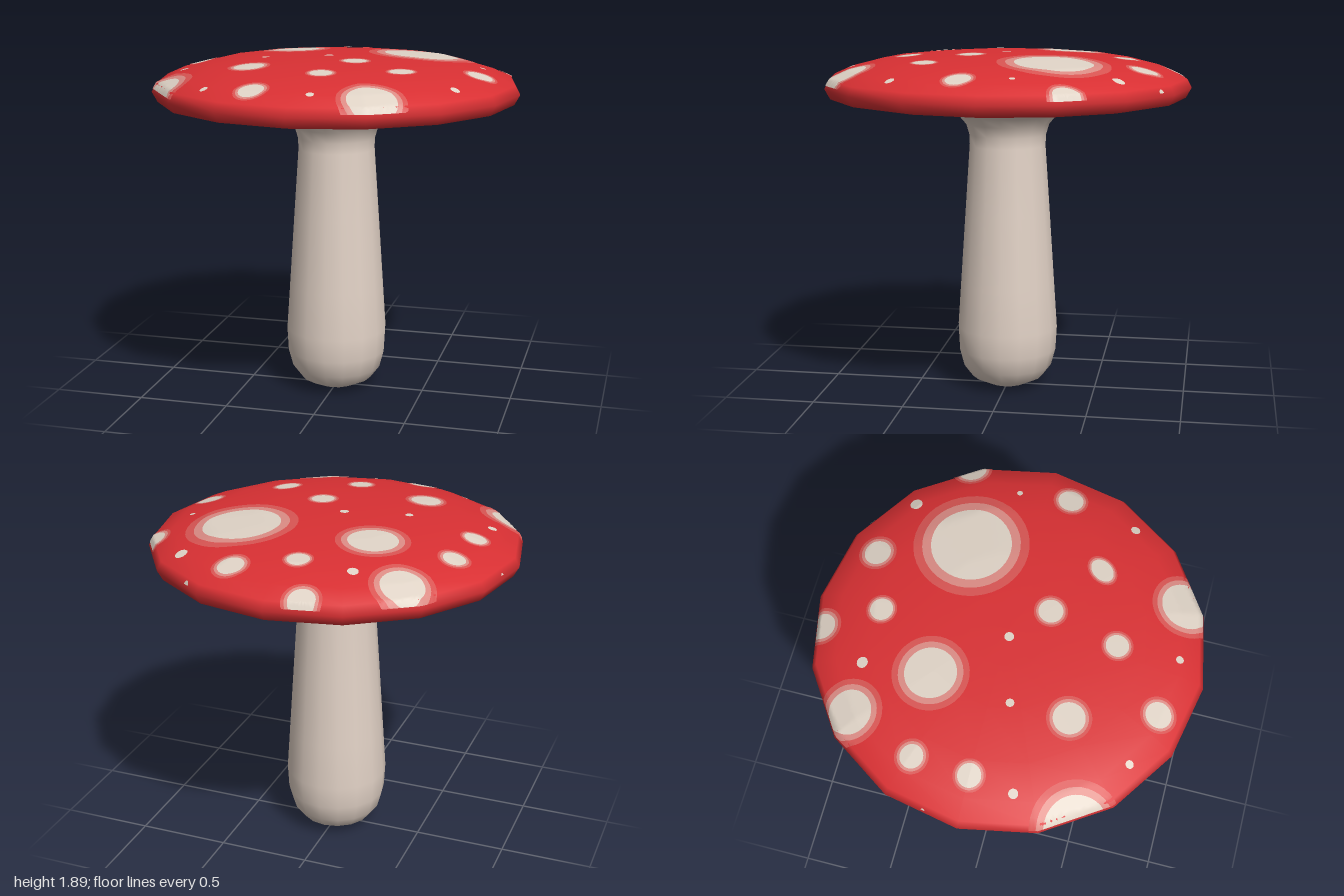
import * as THREE from 'three';

const SIDES = 16;

// Cap profile as [radius, height], from the lower lip to the crown
const CAP = [[0.9, 1.642], [0.97, 1.655], [1, 1.71], [0.975, 1.757], [0.87, 1.803],
  [0.69, 1.85], [0.42, 1.876], [0.2, 1.884], [0, 1.886]];

// Stem profile, rounded foot up to the flared underside
const STEM = [[0, 0.003], [0.11, 0.015], [0.2, 0.058], [0.25, 0.125], [0.275, 0.22], [0.282, 0.35],
  [0.265, 0.6], [0.238, 1], [0.212, 1.38], [0.214, 1.44], [0.232, 1.5], [0.275, 1.55],
  [0.34, 1.587], [0.45, 1.62], [0.6, 1.64], [0.9, 1.642]];

// Spots with halo: x, z, core radius, halo radius, optional stretch around the cap
const SPOTS = [
  [0.41, -0.305, 0.205, 0.295], [-0.315, -0.315, 0.13, 0.192], [-0.585, -0.655, 0.11, 0.165],
  [-0.87, 0.565, 0.165, 0.235], [0.385, 0.82, 0.125, 0.175], [-0.37, 0.395, 0.08, 0.112],
  [-0.045, -0.645, 0.058, 0.078], [0.265, -0.76, 0.068, 0.098], [-0.175, -0.925, 0.068, 0.1],
  [-0.735, -0.295, 0.058, 0.085], [-0.76, 0, 0.058, 0.08], [0.145, 0.175, 0.062, 0.085],
  [0.435, 0.37, 0.05, 0.066, 1.35], [0.055, 0.535, 0.058, 0.08], [-0.225, 0.81, 0.065, 0.092],
  [0.8, 0.12, 0.065, 0.09], [0.88, -0.43, 0.075, 0.105],
];

// Plain specks: x, z, radius
const SPECKS = [
  [-0.04, 0.01, 0.024], [-0.37, 0.1, 0.021], [-0.79, 0.225, 0.024], [-0.5, 0.73, 0.02],
  [0.085, 0.85, 0.02], [0.73, 0.48, 0.024], [0.775, -0.145, 0.015], [0.59, -0.65, 0.032],
  [-0.335, -0.66, 0.028], [0.47, -0.87, 0.022], [-0.965, -0.185, 0.015],
];

const RIM = 0.992;

function lathe(profile) {
  return new THREE.LatheGeometry(profile.map(([r, y]) => new THREE.Vector2(r, y)), SIDES);
}

// Radius of the cap ring passing through (x, z), allowing for its flat sides
function ringRadius(x, z) {
  const step = (Math.PI * 2) / SIDES;
  const a = Math.atan2(x, z) + Math.PI * 2;
  const fromMiddle = (a % step) - step / 2;
  return Math.hypot(x, z) * Math.cos(fromMiddle) / Math.cos(step / 2);
}

function capHeight(r) {
  for (let i = CAP.length - 1; i > 2; i--) {
    const [r0, y0] = CAP[i], [r1, y1] = CAP[i - 1];
    if (r <= r1) return y0 + (y1 - y0) * (r - r0) / (r1 - r0);
  }
  return CAP[2][1];
}

// Ring or disc laid on the cap and trimmed at the rim
function patch([cx, cz, , , stretch = 1], inner, outer) {
  const around = 40, rows = inner === 0 ? 8 : 3, lift = 0.003;
  const pos = [], index = [], trimmed = [];
  const dir = Math.atan2(cx, -cz) - Math.PI / 2 + Math.PI / 2;
  const tangent = new THREE.Vector2(-cz, cx).normalize();
  if (!Number.isFinite(dir)) tangent.set(1, 0);
  for (let i = 0; i <= rows; i++) {
    const r = inner + (outer - inner) * i / rows;
    for (let j = 0; j < around; j++) {
      const a = j / around * Math.PI * 2;
      let dx = r * Math.cos(a), dz = r * Math.sin(a);
      const along = (dx * tangent.x + dz * tangent.y) * (stretch - 1);
      let x = cx + dx + along * tangent.x, z = cz + dz + along * tangent.y;
      let ring = ringRadius(x, z);
      trimmed.push(ring > RIM);
      if (ring > RIM) {
        x *= RIM / ring;
        z *= RIM / ring;
        ring = RIM;
      }
      pos.push(x * (1 + lift), capHeight(ring) + lift, z * (1 + lift));
    }
  }
  const face = (a, b, c) => {
    if (!(trimmed[a] && trimmed[b] && trimmed[c])) index.push(a, b, c);
  };
  for (let i = 0; i < rows; i++) {
    for (let j = 0; j < around; j++) {
      const k = (j + 1) % around;
      const a = i * around + j, b = i * around + k;
      const c = a + around, d = b + around;
      face(a, d, c);
      if (i > 0 || inner > 0) face(a, b, d);
    }
  }
  const geo = new THREE.BufferGeometry();
  geo.setAttribute('position', new THREE.Float32BufferAttribute(pos, 3));
  geo.setIndex(index);
  geo.computeVertexNormals();
  return geo;
}

export function createModel() {
  const material = (name, color) => {
    const m = new THREE.MeshStandardMaterial({ color });
    m.name = name;
    return m;
  };
  const red = material('cap red', 0xd93033);
  const cream = material('stem cream', 0xe2d2c6);
  const pale = material('spot pale', 0xdfd3c6);
  const midPink = material('halo inner pink', 0xdc8c85);
  const deepPink = material('halo outer pink', 0xd95553);

  const model = new THREE.Group();
  model.name = 'mushroom';
  const add = (parent, name, geometry, mat) => {
    const mesh = new THREE.Mesh(geometry, mat);
    mesh.name = name;
    parent.add(mesh);
  };

  add(model, 'stem', lathe(STEM), cream);
  add(model, 'cap', lathe(CAP), red);

  // Spots: pale core with two halo bands
  const spots = new THREE.Group();
  spots.name = 'spots';
  model.add(spots);
  for (const s of SPOTS) {
    const [, , core, halo] = s;
    const mid = (core + halo) / 2;
    add(spots, 'spotCore', patch(s, 0, core), pale);
    add(spots, 'spotInnerHalo', patch(s, core, mid), midPink);
    add(spots, 'spotOuterHalo', patch(s, mid, halo), deepPink);
  }
  for (const s of SPECKS) add(spots, 'speck', patch(s, 0, s[2]), pale);

  return model;
}
